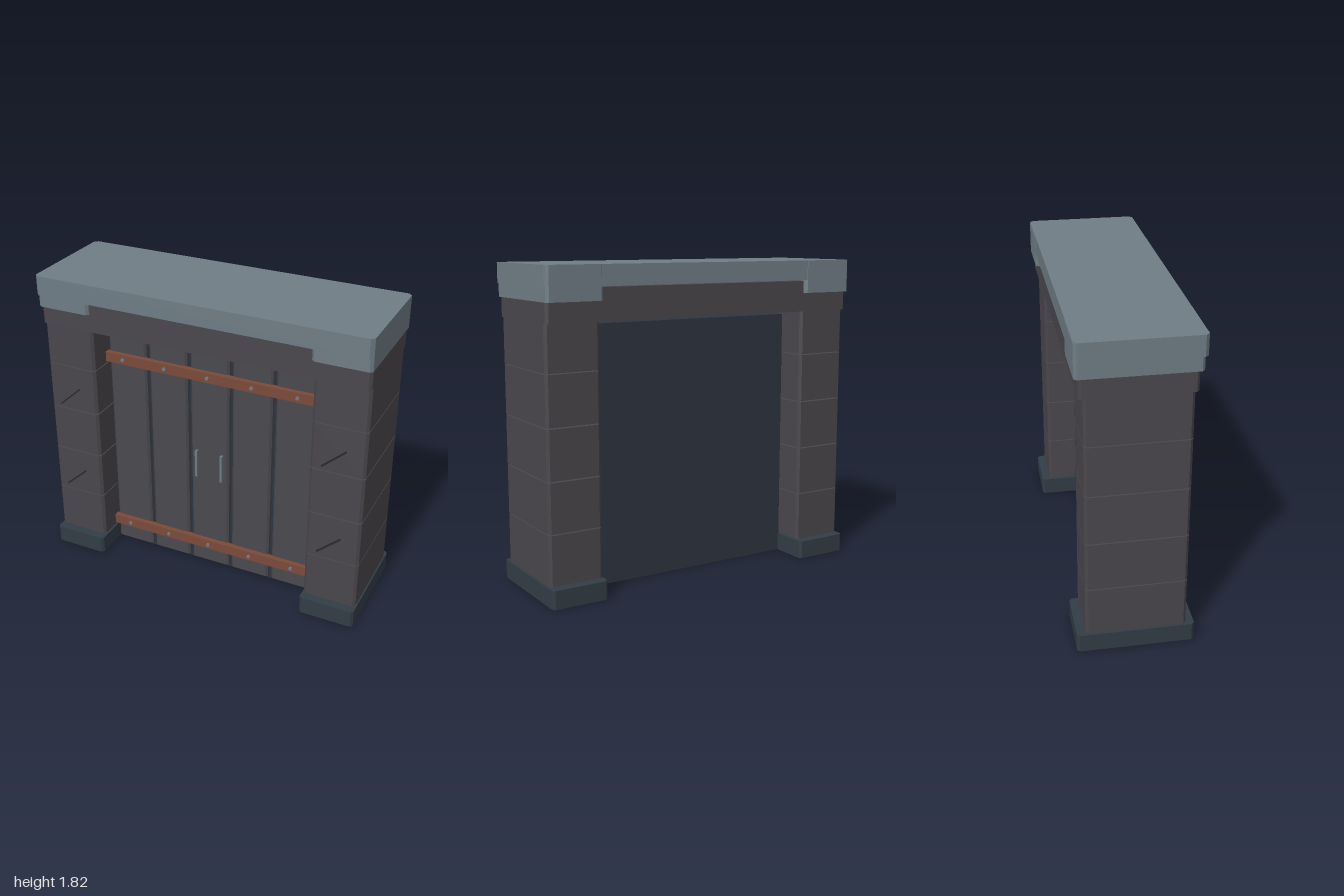
import * as THREE from 'three';

const mat = (color) => new THREE.MeshStandardMaterial({ color, flatShading: true });

// Block given by its extents, with chamfered vertical edges
function block(x0, x1, y0, y1, z0, z1, c) {
  const s = new THREE.Shape([
    [x0 + c, -z0], [x0, -z0 - c], [x0, -z1 + c], [x0 + c, -z1],
    [x1 - c, -z1], [x1, -z1 + c], [x1, -z0 - c], [x1 - c, -z0],
  ].map(([x, y]) => new THREE.Vector2(x, y)));
  const g = new THREE.ExtrudeGeometry(s, { depth: y1 - y0, bevelEnabled: false });
  return g.rotateX(-Math.PI / 2).translate(0, y0, 0);
}

export function createModel() {
  const model = new THREE.Group();
  model.name = 'gateway';
  const stone = mat(0x4a474c);
  const darkStone = mat(0x323d45);
  const capStone = mat(0x6f7d85);
  const backing = mat(0x2e353f);
  const wood = mat(0x4a4a4f);
  const rust = mat(0x7a4a39);
  const groove = mat(0x2a2a2e);

  const add = (name, geometry, material, parent = model) => {
    const mesh = new THREE.Mesh(geometry, material);
    mesh.name = name;
    parent.add(mesh);
    return mesh;
  };

  // Pillars: base, five stacked blocks, cap end
  const courses = [[0.112, 0.395], [0.401, 0.682], [0.689, 0.969], [0.976, 1.256], [1.262, 1.52]];
  for (const side of [-1, 1]) {
    const pillar = new THREE.Group();
    pillar.name = side > 0 ? 'leftPillar' : 'rightPillar';
    model.add(pillar);
    const span = (a, b) => (side > 0 ? [a, b] : [-b, -a]);
    add('pillarBase', block(...span(0.667, 1), 0, 0.106, -0.328, 0.323, 0.015), darkStone, pillar);
    for (const [y0, y1] of courses) {
      add('pillarBlock', block(...span(0.675, 0.993), y0, y1, -0.28, 0.275, 0.015), stone, pillar);
    }
    add('capEnd', block(...span(0.67, 0.998), 1.63, 1.815, -0.325, 0.317, 0.015), capStone, pillar);

    // Diagonal cracks, leaning the same way on both pillars
    for (const y of [0.495, 1.062]) {
      const crack = add('crack', new THREE.BoxGeometry(0.18, 0.009, 0.014), groove, pillar);
      crack.position.set(side > 0 ? 0.813 : -0.853, y, 0.28);
      crack.rotation.z = 0.73;
    }
  }

  // Lintel and top slab
  add('lintel', block(-0.993, 0.993, 1.52, 1.7, -0.303, 0.295, 0.015), stone);
  add('capSlab', block(-1, 1, 1.705, 1.82, -0.323, 0.333, 0.02), capStone);

  // Door: backing panel, planks, straps with rivets, handles
  const door = new THREE.Group();
  door.name = 'door';
  model.add(door);
  add('backPanel', block(-0.674, 0.674, 0, 1.492, -0.1, 0.1, 0.002), backing, door);
  for (let i = -2; i <= 2; i++) {
    const x = i * 0.266;
    add('plank', block(x - 0.122, x + 0.122, 0.03, 1.485, 0.08, 0.135, 0.012), wood, door);
  }
  for (const y of [0.168, 1.316]) {
    add('strap', new THREE.BoxGeometry(1.325, 0.06, 0.035), rust, door).position.set(0, y, 0.147);
    for (let i = -2; i <= 2; i++) {
      const rivet = add('rivet', new THREE.CylinderGeometry(0.011, 0.011, 0.012, 8), capStone, door);
      rivet.rotation.x = Math.PI / 2;
      rivet.position.set(i * 0.274, y, 0.168);
    }
  }
  for (const x of [-0.081, 0.081]) {
    add('handle', new THREE.BoxGeometry(0.015, 0.175, 0.025), capStone, door).position.set(x, 0.727, 0.145);
  }
  return model;
}
